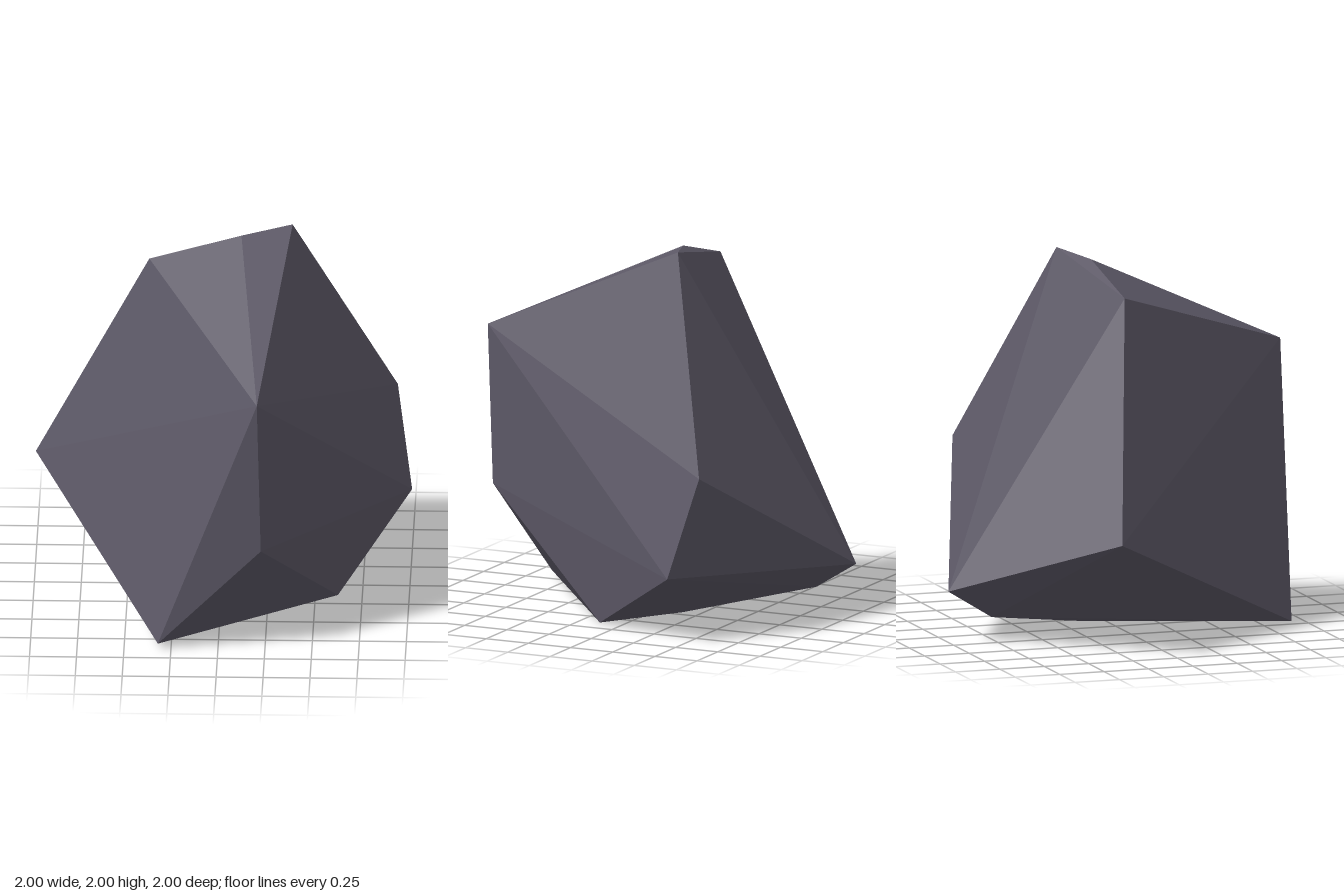
import * as THREE from 'three';
import { ConvexGeometry } from 'three/addons/geometries/ConvexGeometry.js';

export function createModel() {
  const group = new THREE.Group();
  group.name = 'rock';

  const stone = new THREE.MeshStandardMaterial({ color: 0x5c5866 });
  stone.name = 'dark stone';

  // Corners of the boulder, wrapped in a faceted hull
  const corners = [
    // crown
    [-0.39, 1.845, -0.085], [0.10, 1.975, -0.105], [0.37, 2.0, -0.205],
    // front ridge
    [0.21, 1.465, 1.0], [0.23, 0.605, 0.96], [-0.32, 0.03, 0.88],
    // sides
    [-1.0, 0.625, -0.31], [0.92, 0.91, -0.60], [1.0, 0.365, -0.45],
    // back and base
    [-0.165, 0.275, -1.0], [-0.177, 0.125, -0.76],
    [0.205, 0.003, -0.155], [0.62, 0.0, 0.135],
  ].map((p) => new THREE.Vector3(...p));

  const boulder = new THREE.Mesh(new ConvexGeometry(corners), stone);
  boulder.name = 'boulder';
  group.add(boulder);
  return group;
}
